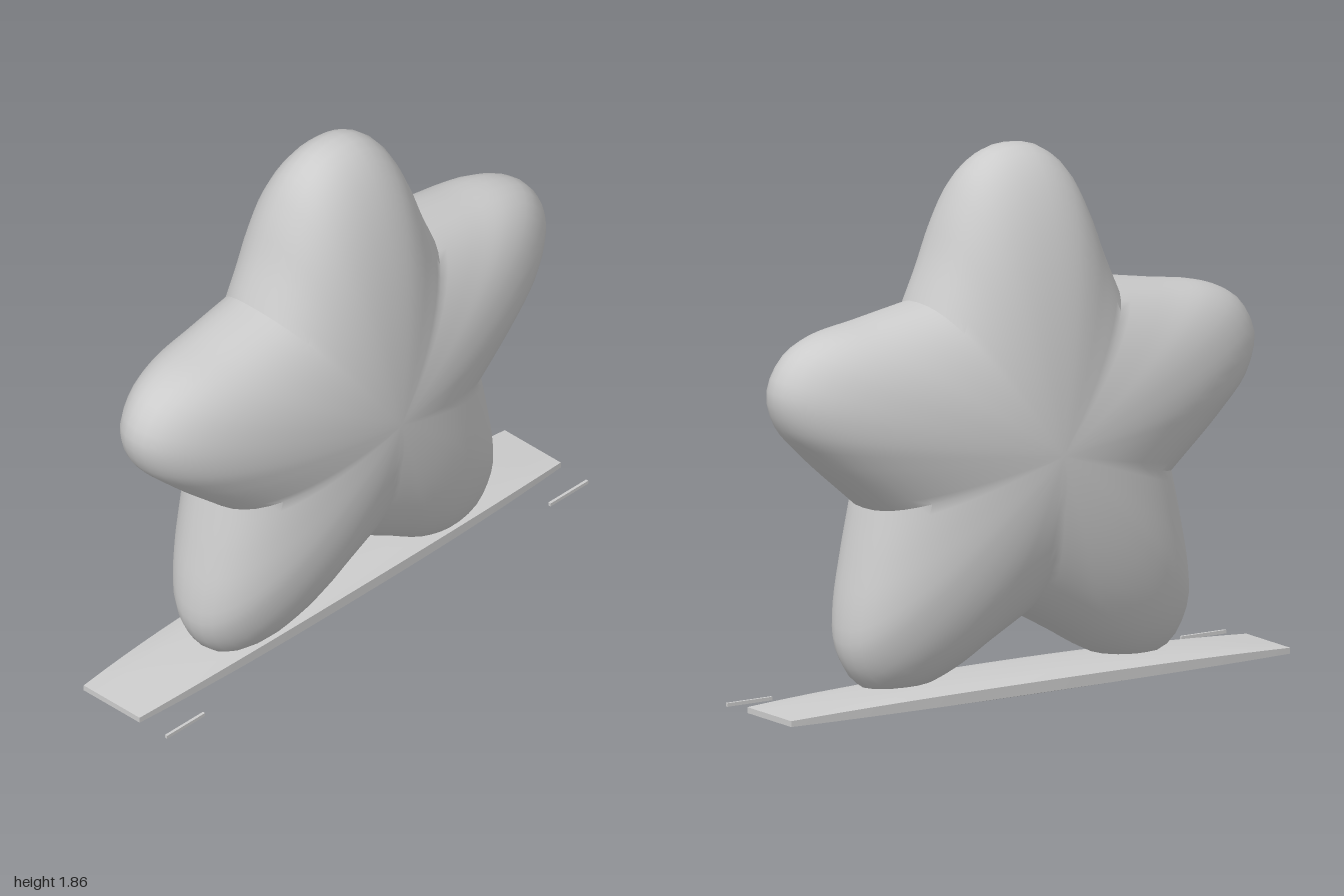
import * as THREE from 'three';
import { toCreasedNormals } from 'three/addons/utils/BufferGeometryUtils.js';

const grey = () => new THREE.MeshStandardMaterial({ color: 0xcccccc, side: THREE.DoubleSide });
const CENTRE_Y = 0.85;
const DEPTH = 0.32;

// Smooth curve through a few points, without its last point
function arc(points, n) {
  const curve = new THREE.CatmullRomCurve3(points.map(([x, y]) => new THREE.Vector3(x, y, 0)), false, 'centripetal');
  return curve.getSpacedPoints(n).slice(0, n);
}

// Clockwise outline: five rounded arms meeting in sharp valleys
function starOutline() {
  const mirror = (pts) => pts.map(([x, y]) => [-x, y]).reverse();
  const topHalf = [[0.37, 1.36], [0.31, 1.5], [0.25, 1.66], [0.18, 1.78], [0.09, 1.845]];
  const top = [...mirror(topHalf).reverse(), [0, 1.86], ...topHalf.slice().reverse()];
  const side = [[0.37, 1.36], [0.58, 1.325], [0.78, 1.29], [0.89, 1.23], [0.95, 1.12], [0.92, 1.0], [0.81, 0.88], [0.59, 0.69]];
  const leg = [[0.59, 0.69], [0.635, 0.5], [0.67, 0.32], [0.67, 0.2], [0.6, 0.085], [0.48, 0.05], [0.33, 0.085], [0.17, 0.175], [0, 0.27]];
  return [top, side, leg, mirror(leg), mirror(side)].flatMap((p) => arc(p, 28));
}

// Puffed star: the outline shrinks to the centre while the depth rises
function starGeometry() {
  const outline = starOutline();
  const n = outline.length, rows = 28;
  const pos = [], index = [];
  for (let j = 0; j <= rows; j++) {
    const a = (j / rows - 0.5) * Math.PI;
    const s = Math.cos(a);
    for (const p of outline) {
      const r = Math.hypot(p.x, p.y - CENTRE_Y);
      const valley = THREE.MathUtils.clamp((1 - r) / 0.4, 0, 1);
      const z = DEPTH * Math.sign(a) * Math.abs(Math.sin(a)) ** (0.95 - 0.15 * valley);
      pos.push(p.x * s, CENTRE_Y + (p.y - CENTRE_Y) * s, z);
    }
  }
  for (let j = 0; j < rows; j++) {
    for (let i = 0; i < n; i++) {
      const a = j * n + i, b = j * n + (i + 1) % n, c = a + n, d = b + n;
      if (j > 0) index.push(a, c, b);
      if (j < rows - 1) index.push(b, c, d);
    }
  }
  const g = new THREE.BufferGeometry();
  g.setAttribute('position', new THREE.Float32BufferAttribute(pos, 3));
  g.setIndex(index);
  return toCreasedNormals(g, 0.6);
}

// Thin strip, thicker and wider in the middle, with a lens-like section
function baseGeometry() {
  const g = new THREE.BoxGeometry(2, 1, 2, 20, 1, 8);
  const p = g.attributes.position;
  for (let i = 0; i < p.count; i++) {
    const x = p.getX(i), v = p.getZ(i);
    const bulge = 1 - Math.abs(x) ** 2.5;
    const lens = 1 - v * v;
    const up = 0.008 + 0.042 * bulge * (0.45 + 0.55 * Math.sqrt(lens));
    const down = 0.012 + 0.026 * bulge * lens;
    p.setY(i, 0.04 + (p.getY(i) > 0 ? up : -down));
    p.setZ(i, -0.05 + v * (0.13 + 0.03 * bulge));
  }
  return toCreasedNormals(g, 0.5);
}

export function createModel() {
  const group = new THREE.Group();
  const add = (name, geometry) => {
    const mesh = new THREE.Mesh(geometry, grey());
    mesh.name = name;
    group.add(mesh);
    return mesh;
  };

  add('starBody', starGeometry());
  add('baseStrip', baseGeometry());

  // Loose slivers in front of the strip's ends
  for (const [name, side] of [['leftSliver', 1], ['rightSliver', -1]]) {
    add(name, new THREE.BoxGeometry(0.18, 0.012, 0.01)).position.set(side * 0.91, 0.033, 0.203);
  }
  return group;
}
